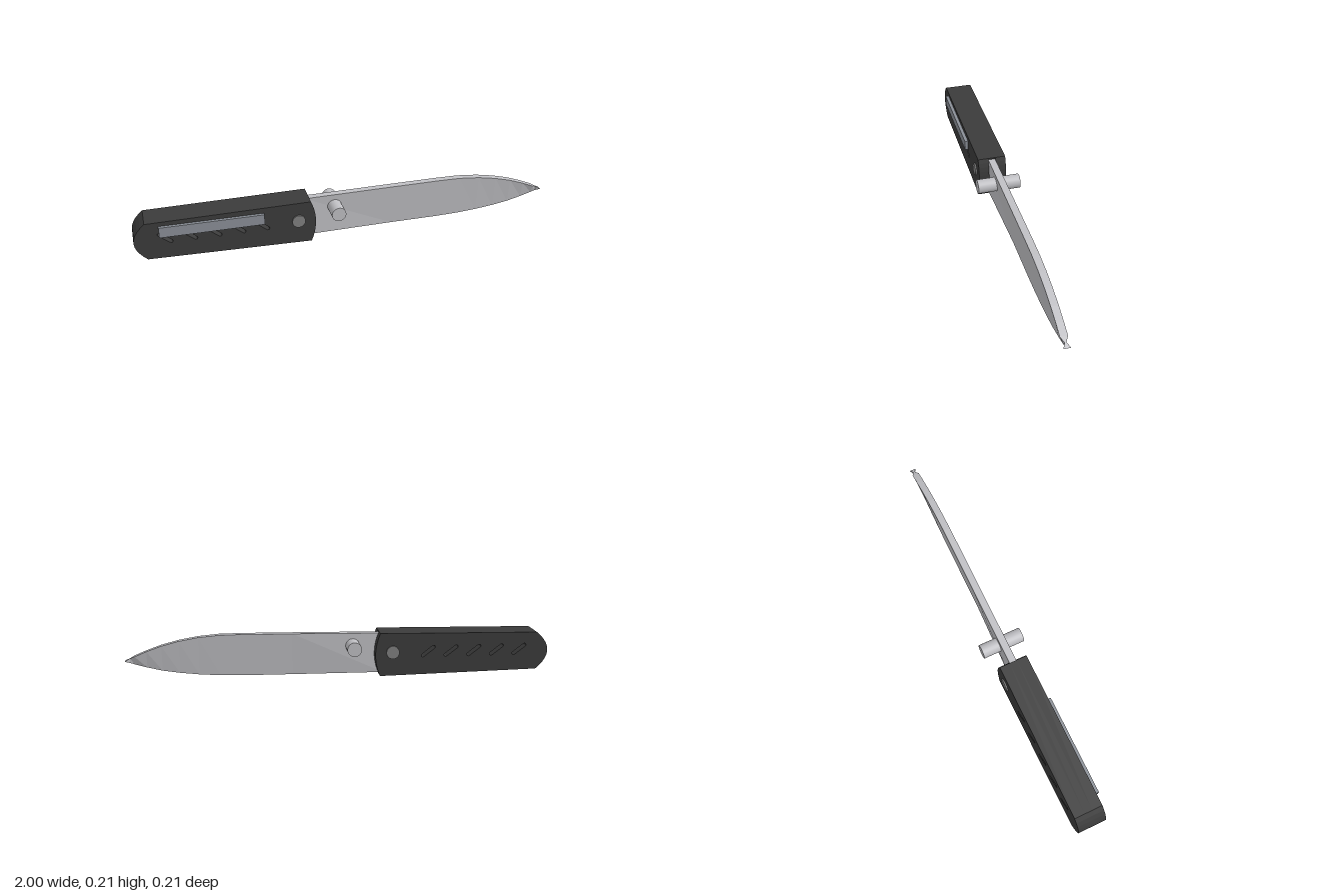
import * as THREE from 'three';

const material = (name, color) => {
  const m = new THREE.MeshStandardMaterial({ color });
  m.name = name;
  return m;
};

// Handle side profile with five slanted through slots; flatEnd squares off the blade end
function handleShape(flatEnd) {
  const s = new THREE.Shape();
  s.moveTo(-0.945, 0.017);
  s.lineTo(-0.19, 0);
  if (flatEnd) s.lineTo(-0.19, 0.206);
  else s.quadraticCurveTo(-0.146, 0.103, -0.19, 0.206);
  s.lineTo(-0.945, 0.197);
  s.quadraticCurveTo(-1.055, 0.107, -0.945, 0.017);

  const angle = -0.66, half = 0.032, r = 0.008;
  for (let i = 0; i < 5; i++) {
    const cx = -0.86 + i * 0.11, cy = 0.116;
    const dx = Math.cos(angle) * half, dy = Math.sin(angle) * half;
    const slot = new THREE.Path();
    slot.absarc(cx + dx, cy + dy, r, angle - Math.PI / 2, angle + Math.PI / 2, false);
    slot.absarc(cx - dx, cy - dy, r, angle + Math.PI / 2, angle + Math.PI * 1.5, false);
    slot.closePath();
    s.holes.push(slot);
  }
  return s;
}

// Blade cross-sections: x, spine y, edge y, spine half width, edge half width
function bladeGeometry() {
  const sections = [
    [-0.21, 0.198, 0.006, 0.017, 0.017],
    [0.22, 0.203, 0.003, 0.017, 0.003],
    [0.45, 0.205, 0.004, 0.017, 0.003],
    [0.56, 0.204, 0.007, 0.017, 0.003],
    [0.66, 0.195, 0.014, 0.017, 0.003],
    [0.75, 0.179, 0.024, 0.017, 0.003],
    [0.83, 0.158, 0.037, 0.017, 0.003],
    [0.9, 0.133, 0.054, 0.017, 0.003],
    [0.955, 0.11, 0.07, 0.017, 0.003],
    [0.978, 0.099, 0.078, 0.004, 0.003],
    [1, 0.087, 0.087, 0.016, 0.016],
  ];
  const points = [], index = [];
  for (const [x, top, edge, a, b] of sections) {
    points.push(x, top, a, x, edge, b, x, edge, -b, x, top, -a);
  }
  for (let i = 0; i < sections.length - 1; i++) {
    for (let k = 0; k < 4; k++) {
      const n = (k + 1) % 4, p = i * 4, q = p + 4;
      index.push(p + k, p + n, q + n, p + k, q + n, q + k);
    }
  }
  index.push(0, 2, 1, 0, 3, 2);
  const indexed = new THREE.BufferGeometry();
  indexed.setAttribute('position', new THREE.Float32BufferAttribute(points, 3));
  indexed.setIndex(index);
  const g = indexed.toNonIndexed();
  g.computeVertexNormals();
  return g;
}

export function createModel() {
  const model = new THREE.Group();
  model.name = 'foldingKnife';
  const black = material('handleBlack', 0x3b3b3b);
  const steel = material('bladeSteel', 0xc0c0c4);
  const clipGrey = material('clipGrey', 0x8b9098);
  const pivotGrey = material('pivotGrey', 0x808080);

  const add = (name, geometry, mat, x = 0, y = 0, z = 0) => {
    const mesh = new THREE.Mesh(geometry, mat);
    mesh.name = name;
    mesh.position.set(x, y, z);
    model.add(mesh);
    return mesh;
  };
  const slab = (flatEnd, depth) =>
    new THREE.ExtrudeGeometry(handleShape(flatEnd), { depth, bevelEnabled: false, curveSegments: 10 });

  // Handle: two scales around a spacer that stops short to seat the blade
  add('frontScale', slab(false, 0.05), black, 0, 0, 0.018);
  add('backScale', slab(false, 0.05), black, 0, 0, -0.068);
  add('handleSpacer', slab(true, 0.036), black, 0, 0, -0.018);

  // Blade and the thumb stud passing through it
  add('blade', bladeGeometry(), steel);
  add('thumbStud', new THREE.CylinderGeometry(0.034, 0.034, 0.206, 24), steel, -0.065, 0.139, 0)
    .rotation.x = Math.PI / 2;

  // Pivot pin, showing on both sides
  add('pivotPin', new THREE.CylinderGeometry(0.031, 0.031, 0.15, 24), pivotGrey, -0.25, 0.114, 0)
    .rotation.x = Math.PI / 2;

  // Pocket clip on the front
  add('pocketClip', new THREE.BoxGeometry(0.475, 0.05, 0.017), clipGrey, -0.648, 0.153, 0.0755);

  return model;
}
